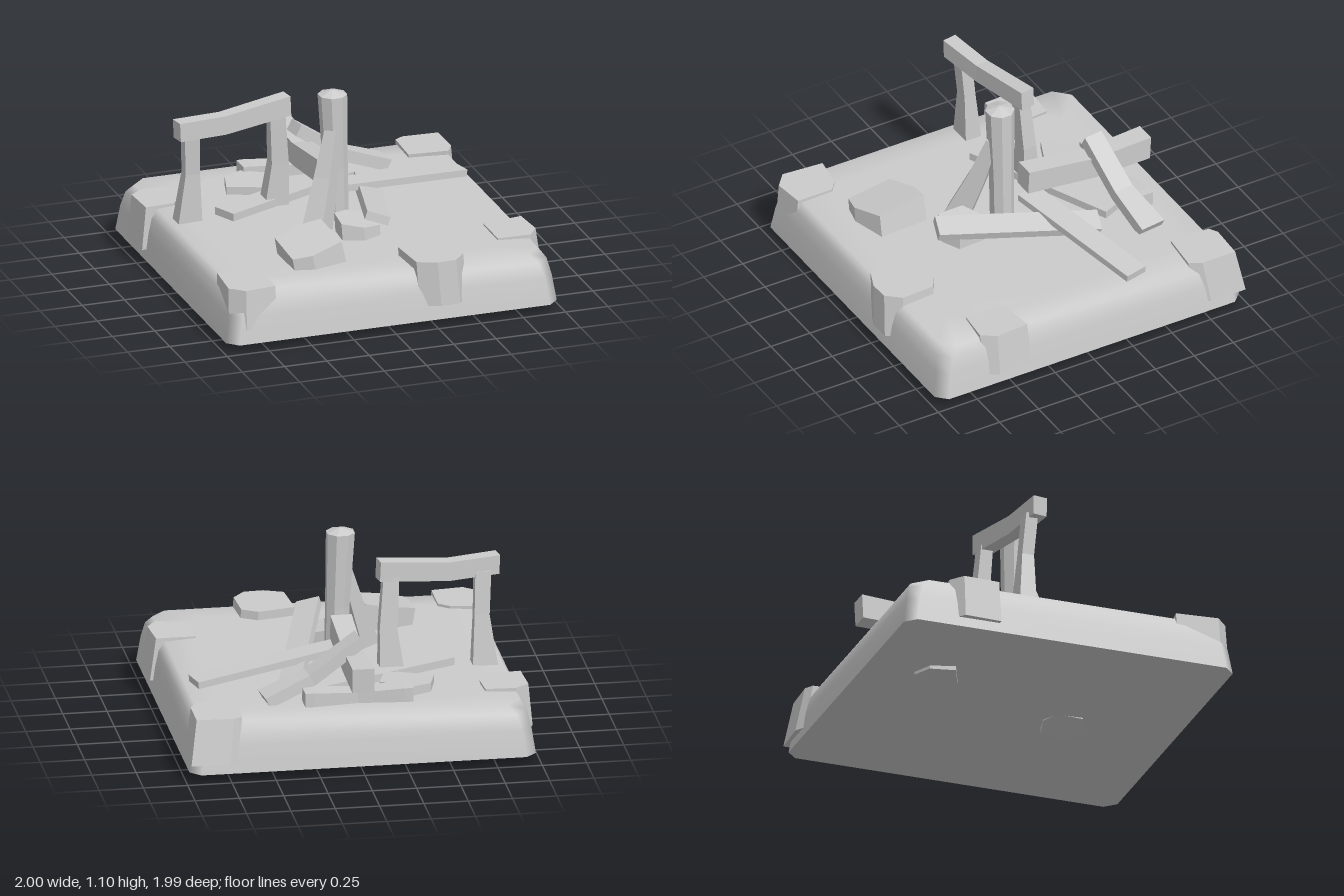
import * as THREE from 'three';

const V = (x, y, z) => new THREE.Vector3(x, y, z);
const grey = (flat) => new THREE.MeshStandardMaterial({ color: 0xcccccc, flatShading: flat });

// Closed solid skinned over rings of equal point count; faces turned outward by signed volume.
function loft(rings, smooth = false) {
  const n = rings[0].length;
  const pts = rings.flat();
  const idx = [];
  for (let r = 0; r < rings.length - 1; r++) {
    for (let i = 0; i < n; i++) {
      const a = r * n + i, b = r * n + (i + 1) % n;
      idx.push(a, b, b + n, a, b + n, a + n);
    }
  }
  // end caps
  const ends = [rings[0], rings[rings.length - 1]];
  ends.forEach((ring, e) => {
    const c = ring.reduce((s, p) => s.add(p), V(0, 0, 0)).divideScalar(n);
    let start = e ? (rings.length - 1) * n : 0;
    if (smooth && !e) { start = pts.length; pts.push(...ring); }
    const ci = pts.length;
    pts.push(c);
    for (let i = 0; i < n; i++) {
      const a = start + i, b = start + (i + 1) % n;
      if (e) idx.push(a, b, ci); else idx.push(b, a, ci);
    }
  });
  let vol = 0;
  for (let i = 0; i < idx.length; i += 3) {
    vol += pts[idx[i]].dot(pts[idx[i + 1]].clone().cross(pts[idx[i + 2]]));
  }
  if (vol < 0) idx.reverse();
  const g = new THREE.BufferGeometry().setFromPoints(pts);
  g.setIndex(idx);
  const out = smooth ? g : g.toNonIndexed();
  out.computeVertexNormals();
  return out;
}

// Beam along stations [x, y, z, width, height], rolled about its axis.
function beam(stations, roll = 0) {
  const P = stations.map((s) => V(s[0], s[1], s[2]));
  const dir = P[P.length - 1].clone().sub(P[0]).normalize();
  const ref = Math.abs(dir.y) > 0.7 ? V(0, 0, 1) : V(0, 1, 0);
  const side = dir.clone().cross(ref).normalize();
  const up = side.clone().cross(dir).normalize();
  side.applyAxisAngle(dir, roll);
  up.applyAxisAngle(dir, roll);
  return loft(stations.map(([, , , w, h], k) =>
    [[-1, -1], [1, -1], [1, 1], [-1, 1]].map(([a, b]) =>
      P[k].clone().addScaledVector(side, a * w / 2).addScaledVector(up, b * h / 2))));
}

// Stone: tilted top outline [x, z], bottom outline scaled and shifted.
function stone({ top, y, low, tilt = [0, 0], scale = 1, shift = [0, 0] }) {
  const cx = top.reduce((s, p) => s + p[0], 0) / top.length;
  const cz = top.reduce((s, p) => s + p[1], 0) / top.length;
  const ring = (h, k, sx, sz) => top.map(([x, z]) => V(
    cx + (x - cx) * k + sx, h + tilt[0] * (x - cx) + tilt[1] * (z - cz), cz + (z - cz) * k + sz));
  return loft([ring(low, scale, ...shift), ring(y, 1, 0, 0)]);
}

export function createModel() {
  const group = new THREE.Group();
  const add = (name, geo, flat = true) => {
    const m = new THREE.Mesh(geo, grey(flat));
    m.name = name;
    group.add(m);
  };

  // Soft-edged ground slab with cut corners
  const slabRing = (h, y, c) => [[h, h - c], [h - c, h], [c - h, h], [-h, h - c],
    [-h, c - h], [c - h, -h], [h - c, -h], [h, c - h]].map(([x, z]) => V(x, y, z));
  add('groundSlab', loft([
    slabRing(0.977, 0.05, 0.06), slabRing(0.955, 0.2, 0.06), slabRing(0.935, 0.29, 0.07),
    slabRing(0.9, 0.34, 0.08), slabRing(0.74, 0.345, 0.1),
  ], true), false);

  // Central post with a shallow pointed top
  const postRing = (x, y, r) => Array.from({ length: 8 }, (_, i) => {
    const a = (i + 0.5) * Math.PI / 4;
    return V(x + r * Math.cos(a), y, 0.015 + r * Math.sin(a));
  });
  add('centralPost', loft([postRing(0, 0.28, 0.068), postRing(-0.01, 0.65, 0.07),
    postRing(-0.027, 1.08, 0.083), postRing(-0.027, 1.105, 0.01)]));
  add('leaningProp', beam([[-0.19, 0.31, 0.2, 0.14, 0.13], [-0.1, 0.62, 0.11, 0.1, 0.1],
    [-0.035, 0.88, 0.05, 0.07, 0.07]], 0.7));

  // Standing frame: two posts and a sagging crossbeam
  add('frameCrossbeam', beam([[-0.885, 0.91, -0.155, 0.085, 0.11], [-0.6, 0.9, -0.2, 0.08, 0.11],
    [-0.195, 0.943, -0.26, 0.085, 0.115]]));
  add('frameLeftPost', beam([[-0.8, 0.32, -0.22, 0.145, 0.1], [-0.785, 0.63, -0.205, 0.085, 0.07],
    [-0.795, 0.88, -0.185, 0.09, 0.07]]));
  add('frameRightPost', beam([[-0.265, 0.32, -0.29, 0.145, 0.1], [-0.245, 0.6, -0.275, 0.1, 0.08],
    [-0.265, 0.9, -0.255, 0.09, 0.07]]));

  // Fallen beams and planks
  const fallen = {
    raisedBeam: [[[-0.007, 0.57, -0.125, 0.12, 0.14], [-0.007, 0.515, -0.55, 0.11, 0.13],
      [-0.007, 0.53, -0.905, 0.125, 0.14]], 0],
    slopingBeam: [[[-0.04, 0.66, -0.58, 0.115, 0.07], [0.25, 0.46, -0.61, 0.12, 0.07],
      [0.51, 0.36, -0.65, 0.155, 0.07]], 0],
    longPlank: [[[0.0, 0.465, -0.145, 0.14, 0.04], [0.86, 0.375, -0.352, 0.14, 0.04]], 0],
    frontPlank: [[[0.075, 0.495, 0.48, 0.135, 0.05], [0.32, 0.365, -0.42, 0.135, 0.05]], 0.3],
    backPlank: [[[-0.6, 0.365, -0.17, 0.15, 0.05], [0.26, 0.365, -0.55, 0.14, 0.05]], 0],
    rearBeam: [[[-0.31, 0.38, -0.72, 0.12, 0.09], [-0.26, 0.38, -0.72, 0.12, 0.09],
      [0.0, 0.36, -0.7, 0.11, 0.09], [0.25, 0.38, -0.72, 0.12, 0.09],
      [0.3, 0.38, -0.72, 0.12, 0.09]], 0],
  };
  for (const [name, [stations, roll]] of Object.entries(fallen)) add(name, beam(stations, roll));

  // Loose stones set into the slab and blocks hugging its rim
  const stones = {
    frontStone: { top: [[-0.52, 0.44], [-0.34, 0.385], [-0.23, 0.39], [-0.21, 0.68], [-0.4, 0.735], [-0.51, 0.71]],
      y: 0.455, low: 0.2, tilt: [0.18, -0.12], scale: 1.04, shift: [0.05, 0] },
    backStone: { top: [[-0.32, -0.69], [-0.15, -0.58], [-0.2, -0.425], [-0.28, -0.42], [-0.47, -0.5], [-0.43, -0.64]],
      y: 0.395, low: 0.03, tilt: [0.02, -0.03] },
    middleStone: { top: [[-0.09, 0.22], [0, 0.17], [0.12, 0.2], [0.13, 0.36], [0.02, 0.41], [-0.1, 0.37]],
      y: 0.43, low: 0.03, tilt: [-0.17, -0.08], shift: [0.02, 0.03] },
    leftRimBlock: { top: [[-0.98, -0.64], [-0.9, -0.7], [-0.73, -0.69], [-0.72, -0.55], [-0.8, -0.44], [-0.97, -0.43]],
      y: 0.36, low: 0.11, scale: 1.03, shift: [-0.02, 0] },
    backCornerBlock: { top: [[0.68, -0.92], [0.73, -0.95], [0.94, -0.94], [0.94, -0.73], [0.9, -0.66], [0.67, -0.68]],
      y: 0.365, low: 0.11, scale: 1.05, shift: [0.03, -0.04] },
    rightRimBlock: { top: [[0.72, 0.42], [0.95, 0.4], [0.965, 0.6], [0.91, 0.68], [0.72, 0.66]],
      y: 0.36, low: 0.115, tilt: [0.03, 0], scale: 1.05, shift: [0.03, 0] },
    frontCornerBlock: { top: [[-0.93, 0.635], [-0.75, 0.66], [-0.69, 0.71], [-0.69, 0.93], [-0.87, 0.95], [-0.95, 0.88]],
      y: 0.36, low: 0.13, scale: 1.02, shift: [0, 0.015] },
    frontRimBlock: { top: [[0.12, 0.69], [0.33, 0.645], [0.42, 0.7], [0.43, 0.9], [0.36, 0.98], [0.25, 0.985], [0.14, 0.94]],
      y: 0.395, low: 0.135, scale: 1.02, shift: [0.02, 0.005] },
  };
  for (const [name, spec] of Object.entries(stones)) add(name, stone(spec));

  return group;
}
